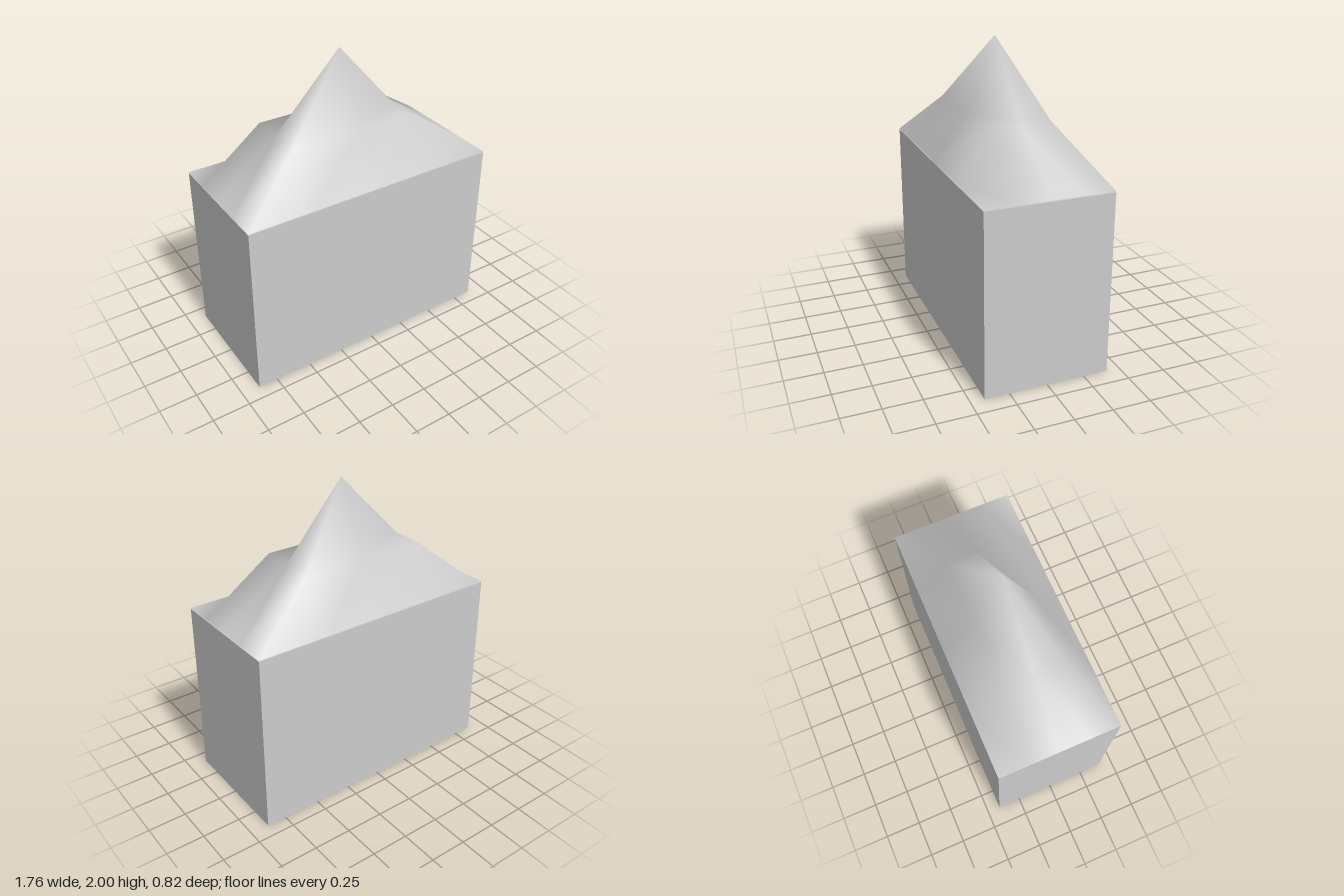
import * as THREE from 'three';

const WIDTH = 1.76, DEPTH = 0.82, WALL = 1.2;

// Peaked roof: a 4 x 4 grid sheet raised in square rings
function makeRoof() {
  const geometry = new THREE.PlaneGeometry(WIDTH, DEPTH, 4, 4).rotateX(-Math.PI / 2);
  const columns = [-0.88, -0.46, 0, 0.41, 0.88];
  const heights = [2, 1.53, WALL + 0.006]; // peak, middle ring, eaves
  const position = geometry.attributes.position;
  for (let i = 0; i < position.count; i++) {
    const column = i % 5, row = Math.floor(i / 5);
    const ring = Math.max(Math.abs(column - 2), Math.abs(row - 2));
    position.setX(i, columns[column]);
    position.setY(i, heights[ring]);
  }
  geometry.computeVertexNormals();
  return geometry;
}

export function createModel() {
  const group = new THREE.Group();
  group.name = 'house';

  // Plain block of walls
  const walls = new THREE.Mesh(
    new THREE.BoxGeometry(WIDTH, WALL, DEPTH),
    new THREE.MeshStandardMaterial({ color: 0xcccccc })
  );
  walls.name = 'walls';
  walls.position.y = WALL / 2;

  const roof = new THREE.Mesh(
    makeRoof(),
    new THREE.MeshStandardMaterial({ color: 0xcccccc, side: THREE.DoubleSide })
  );
  roof.name = 'roof';

  group.add(walls, roof);
  return group;
}
